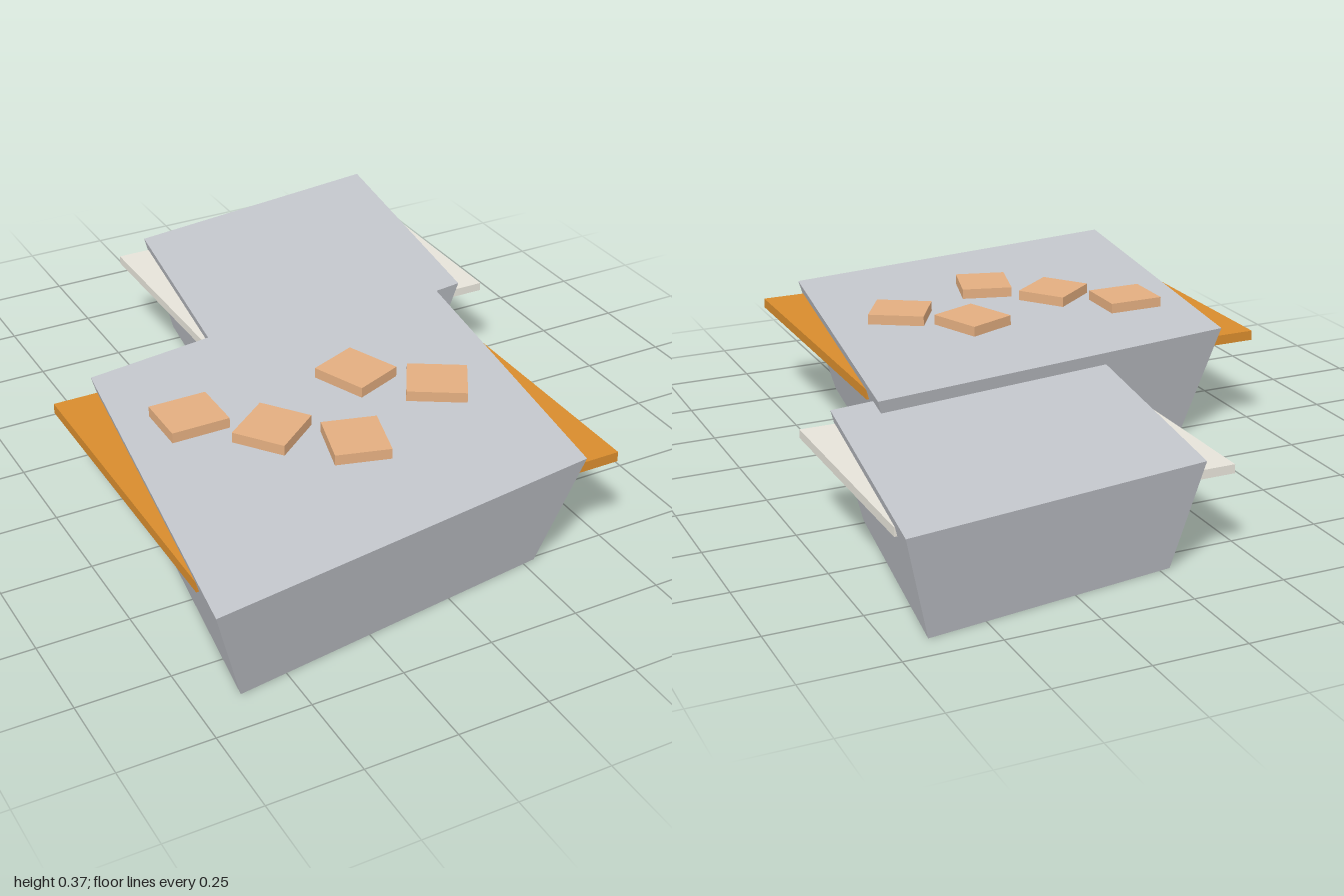
import * as THREE from 'three';

const paint = (name, color) => {
  const m = new THREE.MeshStandardMaterial({ color });
  m.name = name;
  return m;
};

export function createModel() {
  const stone = paint('stone grey', 0xc4c7cd);
  const amber = paint('amber', 0xd88c2d);
  const pale = paint('pale grey', 0xe6e3d9);
  const tan = paint('tan', 0xe3ae80);
  stone.flatShading = true;

  const model = new THREE.Group();
  model.name = 'steppedPlatforms';

  const add = (name, geometry, material, x, y, z, turn = 0) => {
    const mesh = new THREE.Mesh(geometry, material);
    mesh.name = name;
    mesh.position.set(x, y, z);
    mesh.rotation.y = turn;
    model.add(mesh);
  };

  // Square block, narrower at the base, skewed into a diamond plan
  const skew = new THREE.Matrix4().set(
    1, 0, -0.14, 0,
    0, 1, 0, 0,
    -0.14, 0, 1, 0,
    0, 0, 0, 1);
  const block = (side, height) => {
    const r = side / Math.SQRT2;
    return new THREE.CylinderGeometry(r, r * 0.83, height, 4)
      .rotateY(Math.PI / 4)
      .applyMatrix4(skew);
  };

  // Two tapered platforms
  add('frontPlatform', block(1.105, 0.336), stone, -0.109, 0.168, 0.365);
  add('backPlatform', block(0.825, 0.298), stone, 0.265, 0.149, -0.53);

  // Straight slabs whose corners jut out of the platforms
  add('frontSlab', new THREE.BoxGeometry(1.19, 0.028, 0.893), amber, -0.109, 0.289, 0.365);
  add('backSlab', new THREE.BoxGeometry(0.893, 0.024, 0.67), pale, 0.265, 0.255, -0.53);

  // Loose tiles, each turned further than the last
  const tile = new THREE.BoxGeometry(0.162, 0.03, 0.148);
  [[-0.444, 0.217], [-0.28, 0.367], [-0.116, 0.515], [0.049, 0.217], [0.213, 0.367]]
    .forEach(([x, z], i) => add(`tile${i + 1}`, tile, tan, x, 0.35, z, i * 0.65));

  return model;
}
